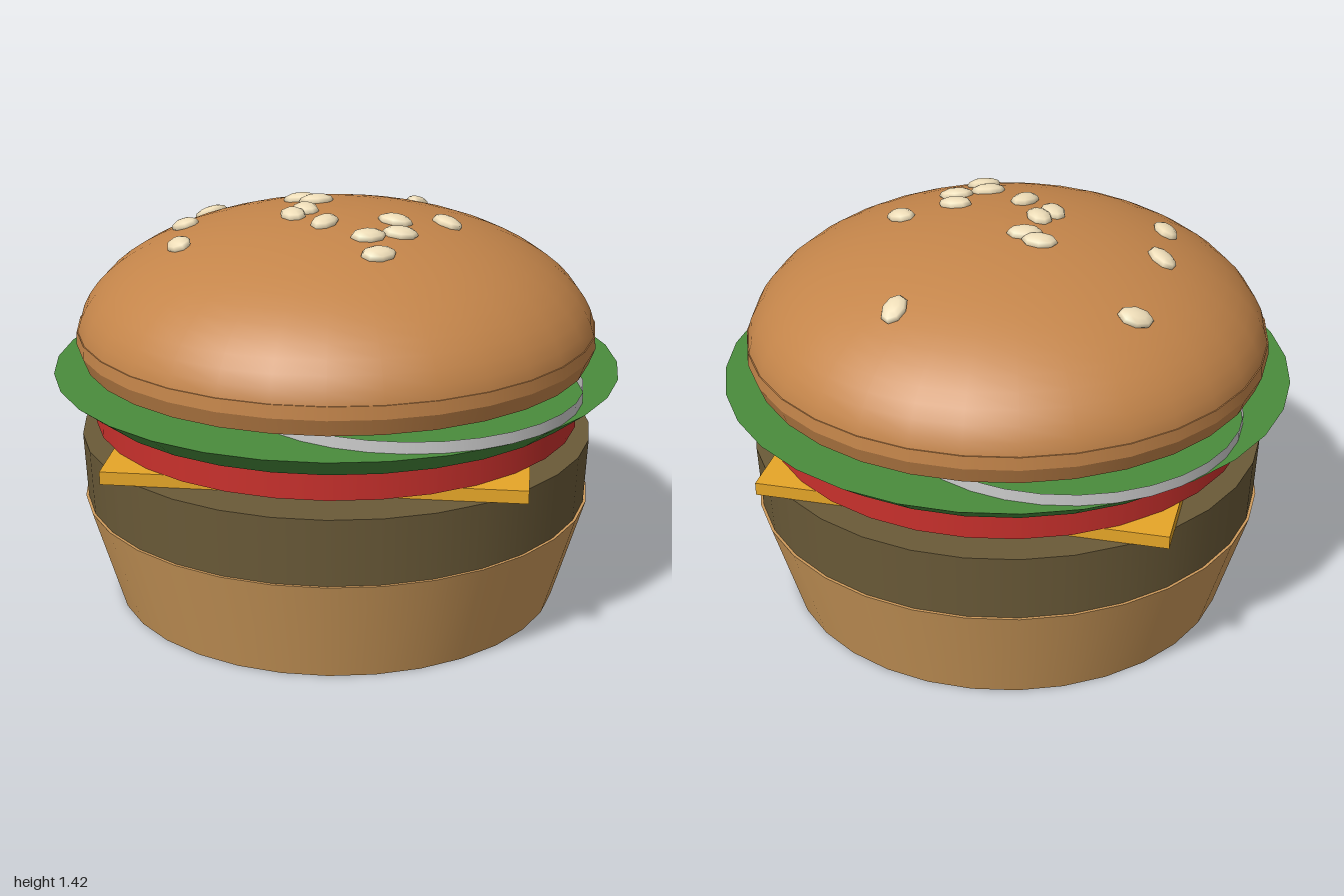
import * as THREE from 'three';

const SEGMENTS = 32;
const DOME = { y: 0.945, radius: 0.915, height: 0.45 };

function paint(color, extra = {}) {
  return new THREE.MeshStandardMaterial({ color, ...extra });
}

// Round layer between two heights
function layer(name, bottomRadius, topRadius, y0, y1, material, open = false) {
  const geometry = new THREE.CylinderGeometry(topRadius, bottomRadius, y1 - y0, SEGMENTS, 1, open);
  const mesh = new THREE.Mesh(geometry, material);
  mesh.name = name;
  mesh.position.y = (y0 + y1) / 2;
  return mesh;
}

// Domed upper half of the top bun
function bunDome(material) {
  const points = [];
  for (let i = 0; i <= 16; i++) {
    const a = (i / 16) * Math.PI / 2;
    points.push(new THREE.Vector2(DOME.radius * Math.cos(a), DOME.height * Math.sin(a)));
  }
  points[16].x = 0;
  const dome = new THREE.Mesh(new THREE.LatheGeometry(points, SEGMENTS), material);
  dome.name = 'bunDome';
  dome.position.y = DOME.y;
  return dome;
}

// Seeds lying on the dome: x, z and heading in degrees
function seeds() {
  const spots = [
    [0.06, -0.6, 100], [-0.61, -0.215, 35], [-0.18, -0.09, 25], [-0.11, -0.07, 35],
    [0.375, -0.095, -20], [-0.085, 0.07, -40], [-0.1, 0.14, -45], [0.04, 0.185, 85],
    [0.24, 0.045, 10], [0.3, 0.145, 25], [0.22, 0.23, 40], [0.3, 0.33, 45],
    [-0.52, 0.145, -25], [-0.42, 0.37, -45],
  ];
  const group = new THREE.Group();
  group.name = 'sesameSeeds';
  const geometry = new THREE.SphereGeometry(1, 8, 6).scale(0.062, 0.024, 0.043);
  const material = paint(0xeeddb8);
  const up = new THREE.Vector3(0, 1, 0);
  for (const [x, z, heading] of spots) {
    const h = DOME.height * Math.sqrt(1 - (x * x + z * z) / DOME.radius ** 2);
    const normal = new THREE.Vector3(x / DOME.radius ** 2, h / DOME.height ** 2, z / DOME.radius ** 2).normalize();
    const seed = new THREE.Mesh(geometry, material);
    seed.name = 'seed';
    seed.position.set(x, DOME.y + h, z).addScaledVector(normal, 0.004);
    seed.quaternion.setFromUnitVectors(up, normal);
    seed.rotateY(THREE.MathUtils.degToRad(heading));
    group.add(seed);
  }
  return group;
}

export function createModel() {
  const model = new THREE.Group();
  model.name = 'burger';

  // Bottom bun and patty
  model.add(layer('bottomBun', 0.8, 0.91, 0, 0.375, paint(0xcf9b5b)));
  model.add(layer('patty', 0.9, 0.91, 0.375, 0.61, paint(0x6a5a38)));

  // Turned square slice of cheese
  const cheese = new THREE.Mesh(new THREE.BoxGeometry(1.407, 0.045, 1.407), paint(0xe6a628));
  cheese.name = 'cheese';
  cheese.position.y = 0.6325;
  cheese.rotation.y = 0.31;
  model.add(cheese);

  // Tomato and flared lettuce
  model.add(layer('tomato', 0.86, 0.86, 0.655, 0.755, paint(0xc8302c)));
  model.add(layer('lettuce', 0.89, 1, 0.755, 0.84, paint(0x4a8c3c)));

  // Two thin onion rings on opposite sides
  const onion = paint(0xcccccc, { side: THREE.DoubleSide });
  for (const side of [1, -1]) {
    const ring = layer('onionRing', 0.6, 0.6, 0.84, 0.88, onion, true);
    ring.position.x = 0.35 * side;
    ring.position.z = 0.2 * side;
    model.add(ring);
  }

  // Top bun: tapered lip, dome and seeds
  const bun = paint(0xc4854a);
  const topBun = new THREE.Group();
  topBun.name = 'topBun';
  topBun.add(layer('bunLip', 0.895, 0.917, 0.887, 0.945, bun));
  topBun.add(layer('bunRim', 0.917, 0.914, 0.945, 0.99, bun));
  topBun.add(bunDome(bun));
  topBun.add(seeds());
  model.add(topBun);

  return model;
}
